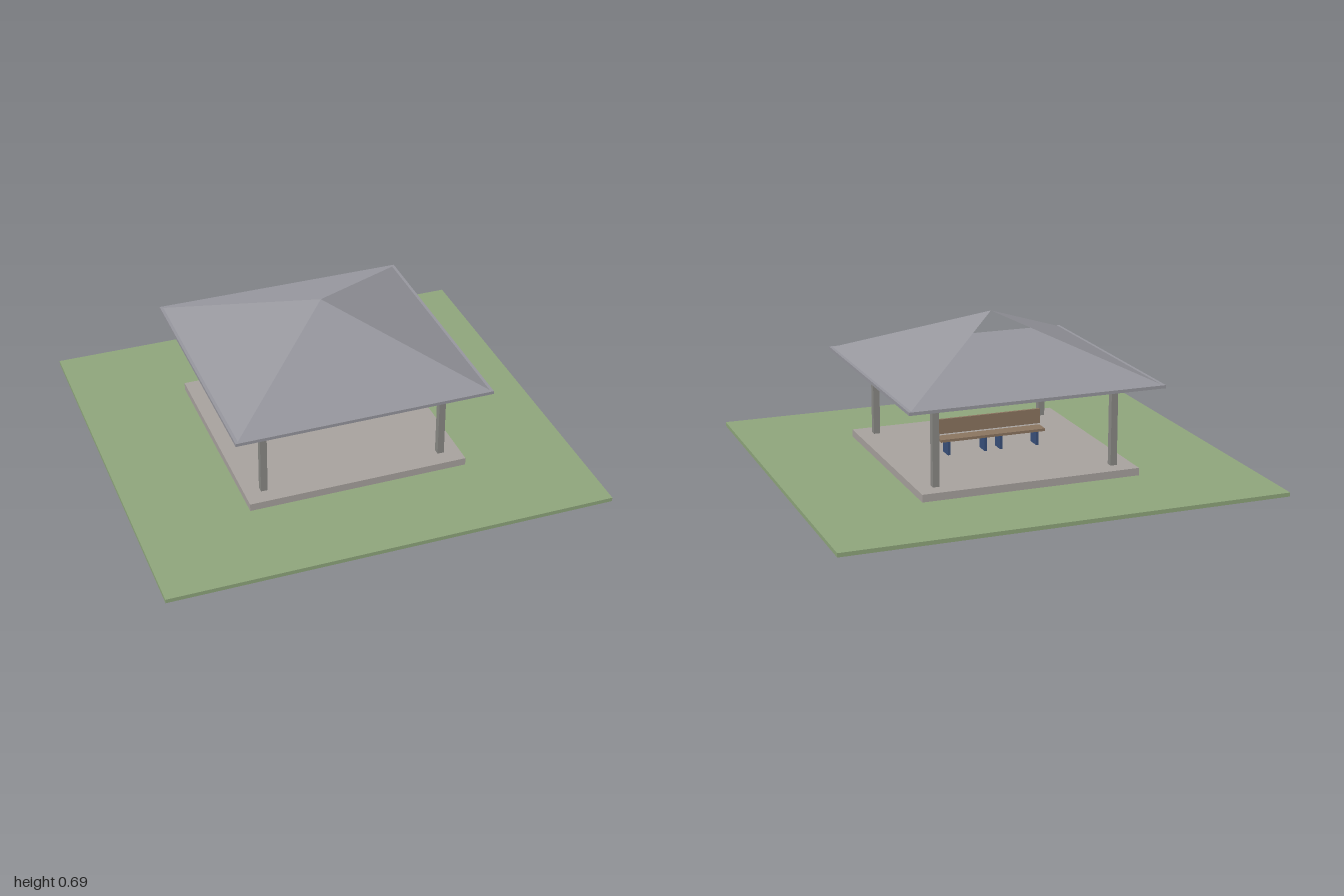
import * as THREE from 'three';

const mat = (color) => new THREE.MeshStandardMaterial({ color });
const grass = mat(0x8fa67c);
const paving = mat(0xa8a29e);
const postGrey = mat(0x8a8985);
const roofGrey = mat(0x97979e);
const wood = mat(0x8b7560);
const legBlue = mat(0x38507a);

// Box given by its x, y and z ranges
function block(name, material, [x0, x1], [y0, y1], [z0, z1]) {
  const mesh = new THREE.Mesh(new THREE.BoxGeometry(x1 - x0, y1 - y0, z1 - z0), material);
  mesh.position.set((x0 + x1) / 2, (y0 + y1) / 2, (z0 + z1) / 2);
  mesh.name = name;
  return mesh;
}

// Two sloping roof panels, left and right, with open front and back
function roofPanels(half, eaveY, apexY) {
  const group = new THREE.Group();
  group.name = 'roofPanels';
  const material = roofGrey.clone();
  material.side = THREE.DoubleSide;
  for (const s of [1, -1]) {
    const geometry = new THREE.BufferGeometry();
    geometry.setAttribute('position', new THREE.Float32BufferAttribute([
      s * half, eaveY, s * half,
      s * half, eaveY, -s * half,
      0, apexY, 0,
    ], 3));
    geometry.computeVertexNormals();
    const panel = new THREE.Mesh(geometry, material);
    panel.name = s > 0 ? 'leftRoofPanel' : 'rightRoofPanel';
    group.add(panel);
  }
  return group;
}

// Two benches standing end to end
function bench(name, x0, x1) {
  const group = new THREE.Group();
  group.name = name;
  group.add(block('seat', wood, [x0, x1], [0.115, 0.127], [-0.035, 0.035]));
  group.add(block('backrest', wood, [x0, x1], [0.135, 0.203], [0.028, 0.04]));
  for (const x of [x0 + 0.037, x1 - 0.038]) {
    group.add(block('benchLeg', legBlue, [x - 0.006, x + 0.006], [0.05, 0.115], [-0.032, 0.032]));
  }
  return group;
}

export function createModel() {
  const model = new THREE.Group();
  model.name = 'pavilion';

  // Lawn and paved floor
  model.add(block('lawn', grass, [-1, 1], [0, 0.018], [-0.94, 0.94]));
  model.add(block('floor', paving, [-0.5, 0.5], [0.018, 0.052], [-0.5, 0.5]));

  // Corner posts
  for (const x of [-0.412, 0.412]) {
    for (const z of [-0.412, 0.412]) {
      model.add(block('post', postGrey, [x - 0.015, x + 0.015], [0.05, 0.428], [z - 0.015, z + 0.015]));
    }
  }

  // Roof deck and panels
  model.add(block('roofDeck', roofGrey, [-0.58, 0.58], [0.426, 0.44], [-0.58, 0.58]));
  model.add(roofPanels(0.58, 0.434, 0.69));

  model.add(bench('rightBench', -0.25, 0), bench('leftBench', 0, 0.25));
  return model;
}
